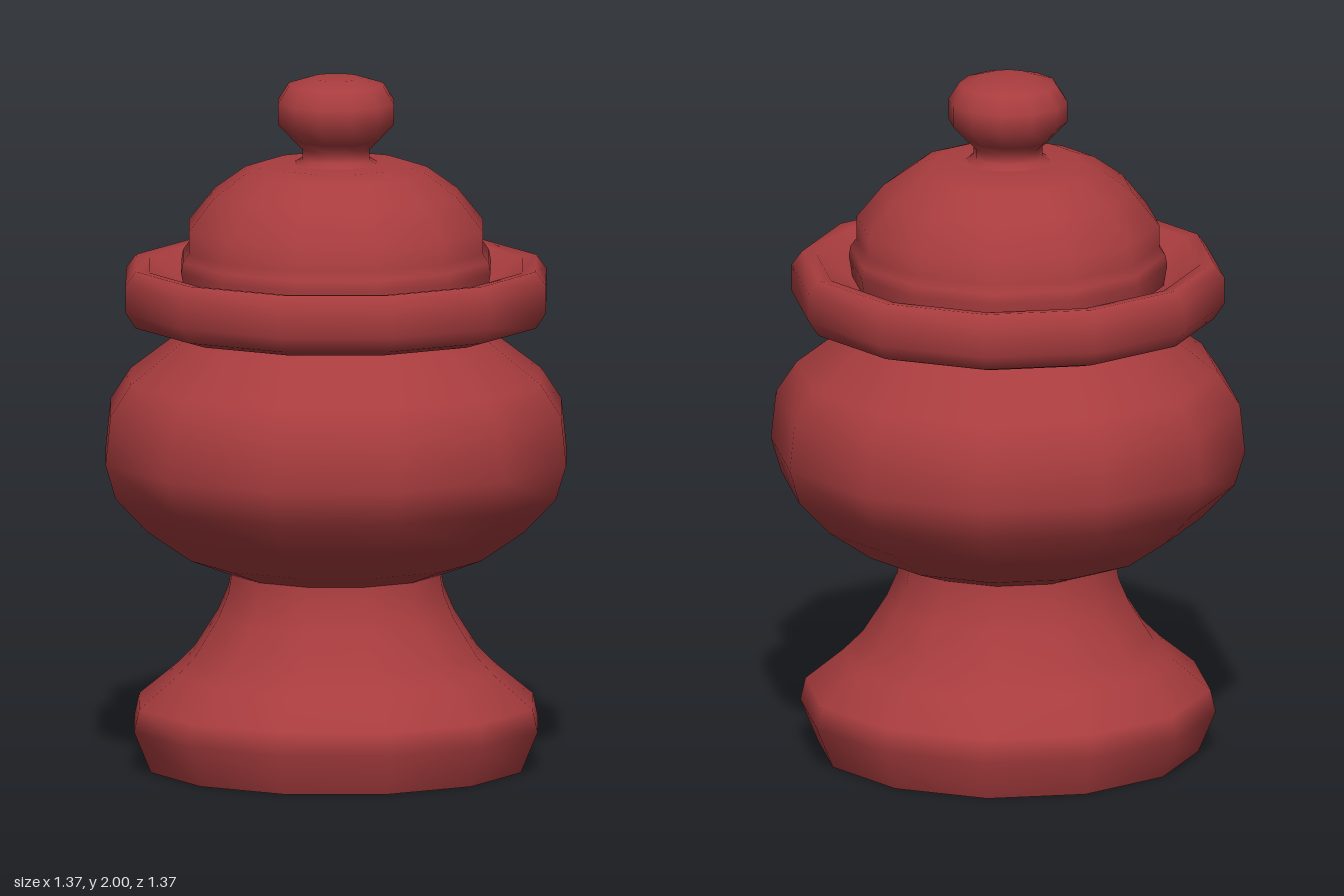
import * as THREE from 'three';

const SIDES = 12;

export function createModel() {
  const group = new THREE.Group();
  const material = new THREE.MeshStandardMaterial({ color: 0xa83c3e, side: THREE.DoubleSide });

  // Turns a [radius, height] profile, listed from bottom to top, around y
  function turn(name, profile) {
    const points = profile.map(([r, y]) => new THREE.Vector2(r, y));
    const mesh = new THREE.Mesh(new THREE.LatheGeometry(points, SIDES), material);
    mesh.name = name;
    group.add(mesh);
  }

  // Flat underside
  turn('underside', [[0, 0], [0.55, 0]]);

  // Flared foot
  turn('foot', [
    [0.55, 0], [0.6, 0.12], [0.585, 0.185], [0.475, 0.275], [0.42, 0.33],
    [0.35, 0.44], [0.32, 0.51], [0.31, 0.565],
  ]);

  // Rounded bowl
  turn('bowl', [
    [0.31, 0.565], [0.43, 0.61], [0.56, 0.7], [0.655, 0.8], [0.685, 0.9],
    [0.67, 1.04], [0.61, 1.13], [0.46, 1.245], [0.44, 1.27],
  ]);

  // Overhanging rim with a groove inside for the lid
  turn('rim', [
    [0.44, 1.27], [0.53, 1.275], [0.595, 1.295], [0.625, 1.34],
    [0.625, 1.42], [0.595, 1.46], [0.555, 1.455], [0.5, 1.41], [0.45, 1.39],
  ]);

  // Domed lid
  turn('lid', [
    [0.45, 1.39], [0.46, 1.45], [0.455, 1.48], [0.437, 1.505], [0.437, 1.57],
    [0.36, 1.665], [0.27, 1.73], [0.21, 1.75], [0.1, 1.752],
  ]);

  // Knob on its short neck
  turn('knob', [
    [0.125, 1.75], [0.1, 1.765], [0.1, 1.795], [0.125, 1.82], [0.172, 1.87],
    [0.172, 1.93], [0.14, 1.98], [0.075, 2], [0, 2],
  ]);

  return group;
}
